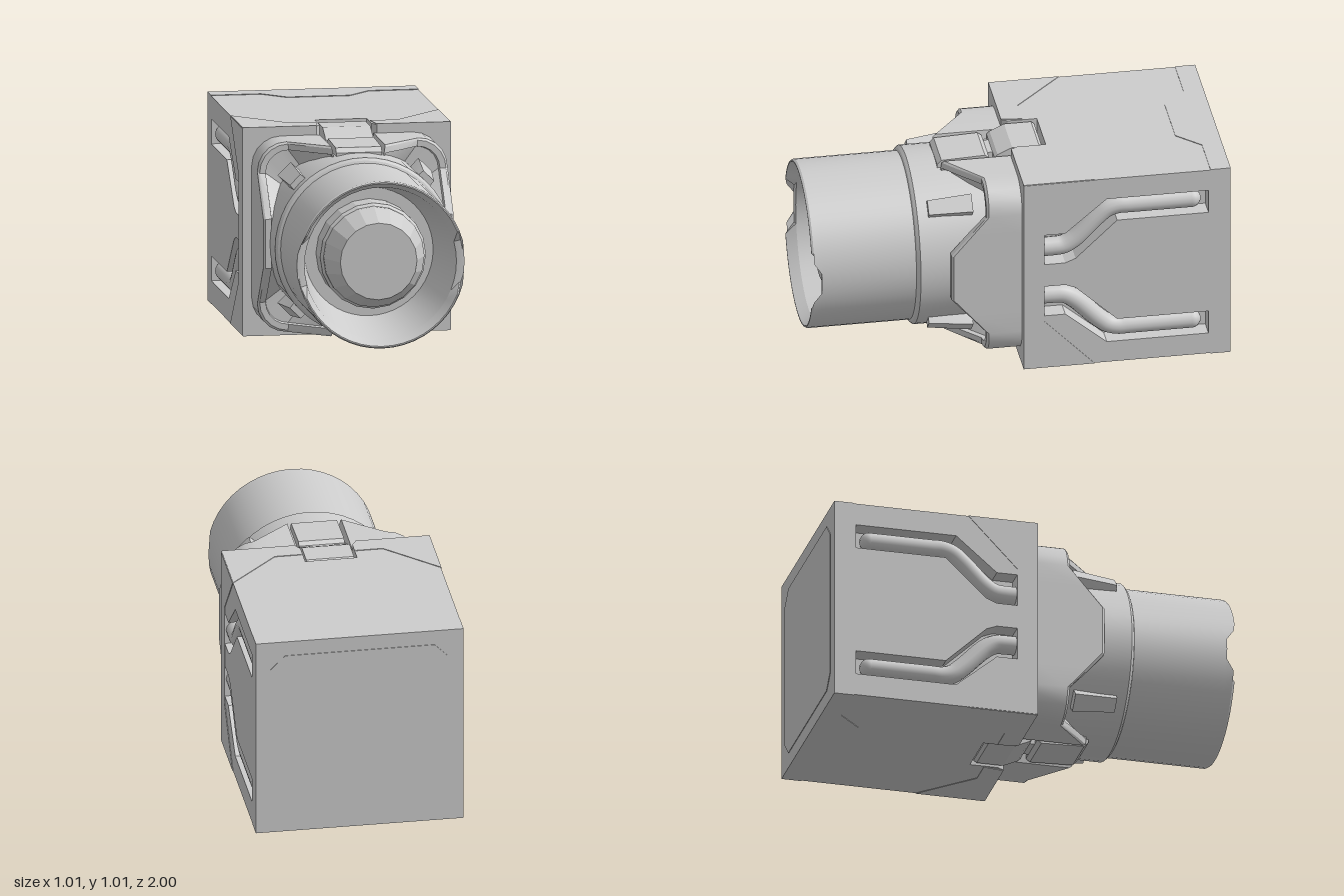
import * as THREE from 'three';
import { toCreasedNormals } from 'three/addons/utils/BufferGeometryUtils.js';

const grey = new THREE.MeshStandardMaterial({ color: 0xcccccc });
grey.name = 'light grey';

const toShape = (pts) => new THREE.Shape(pts.map((p) => new THREE.Vector2(...p)));
const extrude = (shape, depth) => new THREE.ExtrudeGeometry(shape, { depth, bevelEnabled: false });

function add(parent, name, geometry) {
  const mesh = new THREE.Mesh(geometry, grey);
  mesh.name = name;
  parent.add(mesh);
  return mesh;
}

// Plate drawn in (z, y), its outer or inner face at x, growing toward -x
const sidePlate = (shape, depth, x) => extrude(shape, depth).rotateY(-Math.PI / 2).translate(x, 0, 0);
// Plate drawn in (x, z), its upper face at y, growing downward
const flatPlate = (shape, depth, y) => extrude(shape, depth).rotateX(Math.PI / 2).translate(0, y, 0);

// Turned part along z from (radius, z) pairs
const turned = (pts, segments) =>
  new THREE.LatheGeometry(pts.map((p) => new THREE.Vector2(...p)), segments).rotateX(Math.PI / 2);

// Rounded square with a slot at the middle of its top and bottom
function frameLoop(s, r) {
  const q = [[s, 0], [s, 0.12], [s, 0.21]];
  for (let i = 0; i <= 5; i++) {
    const a = (i / 5) * Math.PI / 2;
    q.push([s - r + r * Math.cos(a), s - r + r * Math.sin(a)]);
  }
  q.push([0.21, s], [0.13, s], [0.122, s - 0.045], [0, s - 0.045]);
  const half = [...q, ...q.slice(0, -1).reverse().map(([x, y]) => [-x, y])];
  return [...half, ...half.slice(1, -1).reverse().map(([x, y]) => [x, -y])];
}

// Front edge of the frame: forward at mid sides, cut back at corners
function frameFront([x, y]) {
  const t = Math.min(Math.abs(x), Math.abs(y));
  return 0.34 - 0.17 * THREE.MathUtils.clamp((t - 0.12) / 0.2, 0, 1);
}

function frameGeometry() {
  const outer = frameLoop(0.458, 0.14);
  const inner = frameLoop(0.42, 0.11);
  const front = outer.map(frameFront);
  const loops = [
    outer.map(([x, y]) => [x, y, 0]),
    outer.map(([x, y], i) => [x, y, front[i] - 0.012]),
    outer.map(([x, y], i) => [x * 0.98, y * 0.98, front[i]]),
    inner.map(([x, y], i) => [x, y, front[i]]),
    inner.map(([x, y], i) => [x * 0.99, y * 0.99, front[i] - 0.025]),
    inner.map(([x, y], i) => {
      const k = 0.4 / Math.hypot(x, y);
      return [x * k, y * k, front[i] - 0.025];
    }),
  ];
  const n = outer.length;
  const index = [];
  for (let k = 0; k < loops.length - 1; k++) {
    for (let i = 0; i < n; i++) {
      const a = k * n + i, b = k * n + (i + 1) % n;
      index.push(a, b, b + n, a, b + n, a + n);
    }
  }
  const g = new THREE.BufferGeometry();
  g.setAttribute('position', new THREE.Float32BufferAttribute(loops.flat(2), 3));
  g.setIndex(index);
  return toCreasedNormals(g, 0.5);
}

export function createModel() {
  const root = new THREE.Group();
  root.name = 'cameraUnit';
  const unit = new THREE.Group();
  unit.name = 'unit';
  unit.position.y = 0.503;
  root.add(unit);

  // Housing core and rear slab
  add(unit, 'housingCore', new THREE.BoxGeometry(0.82, 0.86, 0.9).translate(0, 0, -0.45));
  add(unit, 'rearSlab', new THREE.BoxGeometry(1, 1, 0.097).translate(0, 0, -0.9485));
  const c = 0.43, d = 0.36;
  add(unit, 'rearPanel', extrude(toShape([[-c, -d], [-d, -c], [d, -c], [c, -d], [c, d], [d, c], [-d, c], [-c, d]]), 0.006)
    .translate(0, 0, -1));

  // Top and bottom plates with a front notch, and their trim
  const lid = toShape([[-0.42, -0.9], [0.42, -0.9], [0.42, 0], [0.145, 0], [0.125, -0.03], [0.125, -0.17],
    [-0.125, -0.17], [-0.125, -0.03], [-0.145, 0], [-0.42, 0]]);
  const rearTrim = toShape([[-0.5, -0.997], [0.5, -0.997], [0.5, -0.9], [0.26, -0.9], [0.15, -0.79],
    [-0.15, -0.79], [-0.26, -0.9], [-0.5, -0.9]]);
  for (const s of [1, -1]) {
    const place = (depth) => (s > 0 ? 0.5 : -0.5 + depth);
    const trimY = s > 0 ? 0.503 : -0.5;
    add(unit, 'lidPlate', flatPlate(lid, 0.07, place(0.07)));
    add(unit, 'rearTrim', flatPlate(rearTrim, 0.003, trimY));
    for (const m of [1, -1]) {
      const corner = toShape([[0.145, 0], [0.5, 0], [0.5, -0.34], [0.26, -0.1], [0.13, -0.1]].map(([x, z]) => [x * m, z]));
      add(unit, 'frontCornerTrim', flatPlate(corner, 0.003, trimY));
    }
  }

  // Side walls with two cranked channels, each holding a pipe
  const wall = toShape([[-0.9, -0.5], [0, -0.5], [0, 0.5], [-0.9, 0.5]]);
  const channel = [[-0.1, 0.22], [-0.2, 0.22], [-0.4, 0.39], [-0.89, 0.39], [-0.89, 0.27], [-0.45, 0.27],
    [-0.25, 0.08], [-0.2, 0.06], [-0.1, 0.06]];
  for (const m of [1, -1]) {
    wall.holes.push(new THREE.Path(channel.map(([z, y]) => new THREE.Vector2(z, y * m))));
  }
  const sideTrim = toShape([[0, -0.5], [0, 0.5], [-0.34, 0.5], [-0.1, 0.25], [-0.1, -0.25], [-0.34, -0.5]]);
  const route = [[-0.09, 0.13], [-0.15, 0.13], [-0.2, 0.135], [-0.25, 0.165], [-0.36, 0.275], [-0.41, 0.315],
    [-0.46, 0.33], [-0.52, 0.33], [-0.815, 0.33]];
  for (const s of [1, -1]) {
    add(unit, 'sideWall', sidePlate(wall, 0.09, s > 0 ? 0.5 : -0.41));
    add(unit, 'sideTrim', sidePlate(sideTrim, 0.003, s > 0 ? 0.503 : -0.5));
    for (const m of [1, -1]) {
      const curve = new THREE.CatmullRomCurve3(route.map(([z, y]) => new THREE.Vector3(s * 0.448, y * m, z)), false, 'centripetal');
      add(unit, 'sidePipe', new THREE.TubeGeometry(curve, 48, 0.046, 14));
      add(unit, 'pipeEnd', new THREE.SphereGeometry(0.046, 14, 10)).position.set(s * 0.448, 0.33 * m, -0.815);
    }
  }

  // Square mounting frame
  add(unit, 'mountFrame', frameGeometry());

  // Barrel with a notch in each side of its lip
  const barrel = turned([[0.428, 0.1], [0.428, 0.482], [0.416, 0.495], [0.404, 0.5], [0.404, 0.95], [0.404, 0.99],
    [0.398, 1], [0.392, 1], [0.366, 0.95], [0.31, 0.62], [0.24, 0.62]], 48);
  const p = barrel.attributes.position;
  for (let i = 0; i < p.count; i++) {
    if (Math.abs(p.getY(i)) < 0.104 && p.getZ(i) > 0.9) p.setZ(i, Math.min(p.getZ(i), 0.955));
  }
  add(unit, 'barrel', toCreasedNormals(barrel, 0.3));
  add(unit, 'lens', toCreasedNormals(turned([[0.255, 0.6], [0.255, 0.74], [0.242, 0.755], [0.242, 0.775],
    [0.185, 0.9], [0, 0.9]], 20), 0.2));

  // Diagonal lugs around the barrel ring
  for (let i = 0; i < 4; i++) {
    const g = new THREE.BoxGeometry(0.11, 0.09, 0.21, 1, 1, 1);
    const v = g.attributes.position;
    for (let k = 0; k < v.count; k++) {
      if (v.getZ(k) > 0 && v.getX(k) > 0) v.setXYZ(k, 0.03, v.getY(k) * 0.8, v.getZ(k));
    }
    g.computeVertexNormals();
    g.translate(0.425, 0, 0.325).rotateZ(Math.PI / 4 + i * Math.PI / 2);
    add(unit, 'lug', g);
  }

  // Clasps at top and bottom: rear catch, hinge and front block
  const rearCatch = toShape([[-0.155, 0.4], [0.075, 0.4], [0.075, 0.445], [0.06, 0.46], [-0.01, 0.492],
    [-0.14, 0.492], [-0.155, 0.48]]);
  const frontBlock = toShape([[0.1, 0.38], [0.35, 0.38], [0.35, 0.43], [0.33, 0.452], [0.12, 0.46], [0.1, 0.445]]);
  for (let i = 0; i < 2; i++) {
    const clasp = new THREE.Group();
    clasp.name = i ? 'bottomClasp' : 'topClasp';
    const flip = (g) => {
      if (!i) return g;
      // Half turn about z carries the clasp to the underside
      return g.rotateZ(Math.PI);
    };
    add(clasp, 'rearCatch', flip(sidePlate(rearCatch, 0.23, 0.115)));
    add(clasp, 'hinge', flip(new THREE.BoxGeometry(0.12, 0.06, 0.1).translate(0, 0.415, 0.09)));
    add(clasp, 'frontBlock', flip(sidePlate(frontBlock, 0.22, 0.11)));
    unit.add(clasp);
  }
  return root;
}
